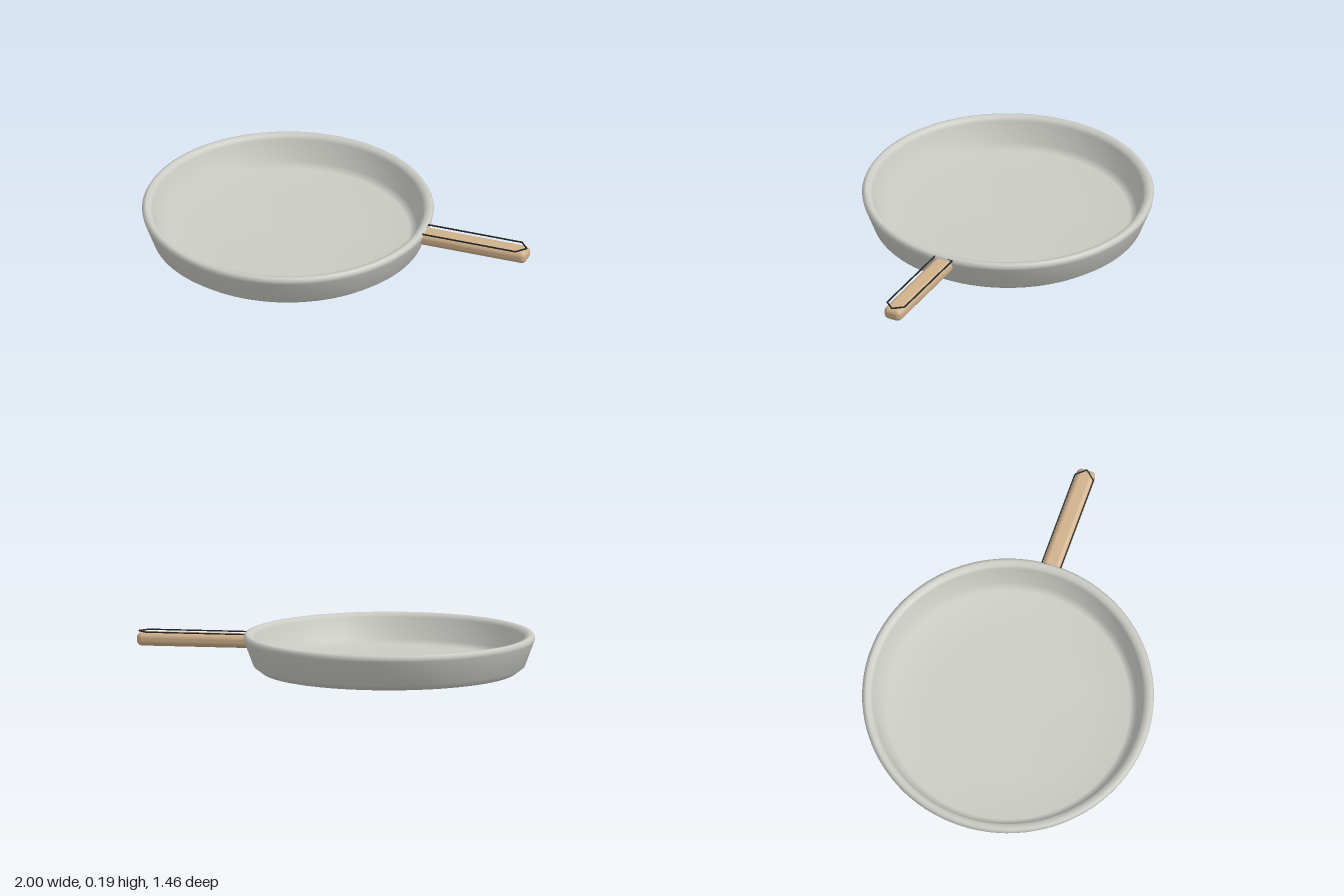
import * as THREE from 'three';
import { RoundedBoxGeometry } from 'three/addons/geometries/RoundedBoxGeometry.js';

const metal = new THREE.MeshStandardMaterial({ name: 'brushed metal', color: 0xcbcbc5 });
const wood = new THREE.MeshStandardMaterial({ name: 'tan wood', color: 0xcfb08a });
const dark = new THREE.MeshStandardMaterial({ name: 'dark trim', color: 0x24282a });

export function createModel() {
  const group = new THREE.Group();
  const add = (name, geometry, material, x, y, z) => {
    const mesh = new THREE.Mesh(geometry, material);
    mesh.name = name;
    mesh.position.set(x, y, z);
    group.add(mesh);
    return mesh;
  };

  // Pan: one turned profile, underside to rim to inner floor
  const profile = [
    [0, 0], [0.64, 0], [0.68, 0.03], [0.727, 0.155], [0.73, 0.17], [0.722, 0.184], [0.71, 0.188],
    [0.69, 0.182], [0.677, 0.165], [0.645, 0.06], [0.61, 0.036], [0.4, 0.028], [0, 0.024],
  ].map(([r, y]) => new THREE.Vector2(r, y));
  add('pan', new THREE.LatheGeometry(profile, 96), metal, -0.27, 0, 0);

  // Handle: rounded bar set into the wall
  const handleZ = -0.026;
  add('handle', new RoundedBoxGeometry(0.575, 0.068, 0.098, 5, 0.028), wood, 0.7125, 0.139, handleZ);

  // Thin pointed trim outline above the handle
  const outline = [[0.45, 0.049], [0.95, 0.049], [0.992, 0], [0.95, -0.049], [0.45, -0.049]];
  outline.forEach(([x, z], i) => {
    const [nx, nz] = outline[(i + 1) % outline.length];
    const length = Math.hypot(nx - x, nz - z);
    const bar = add('handleTrim', new THREE.BoxGeometry(length, 0.006, 0.006), dark,
      (x + nx) / 2, 0.177, handleZ + (z + nz) / 2);
    bar.rotation.y = -Math.atan2(nz - z, nx - x);
  });

  return group;
}
